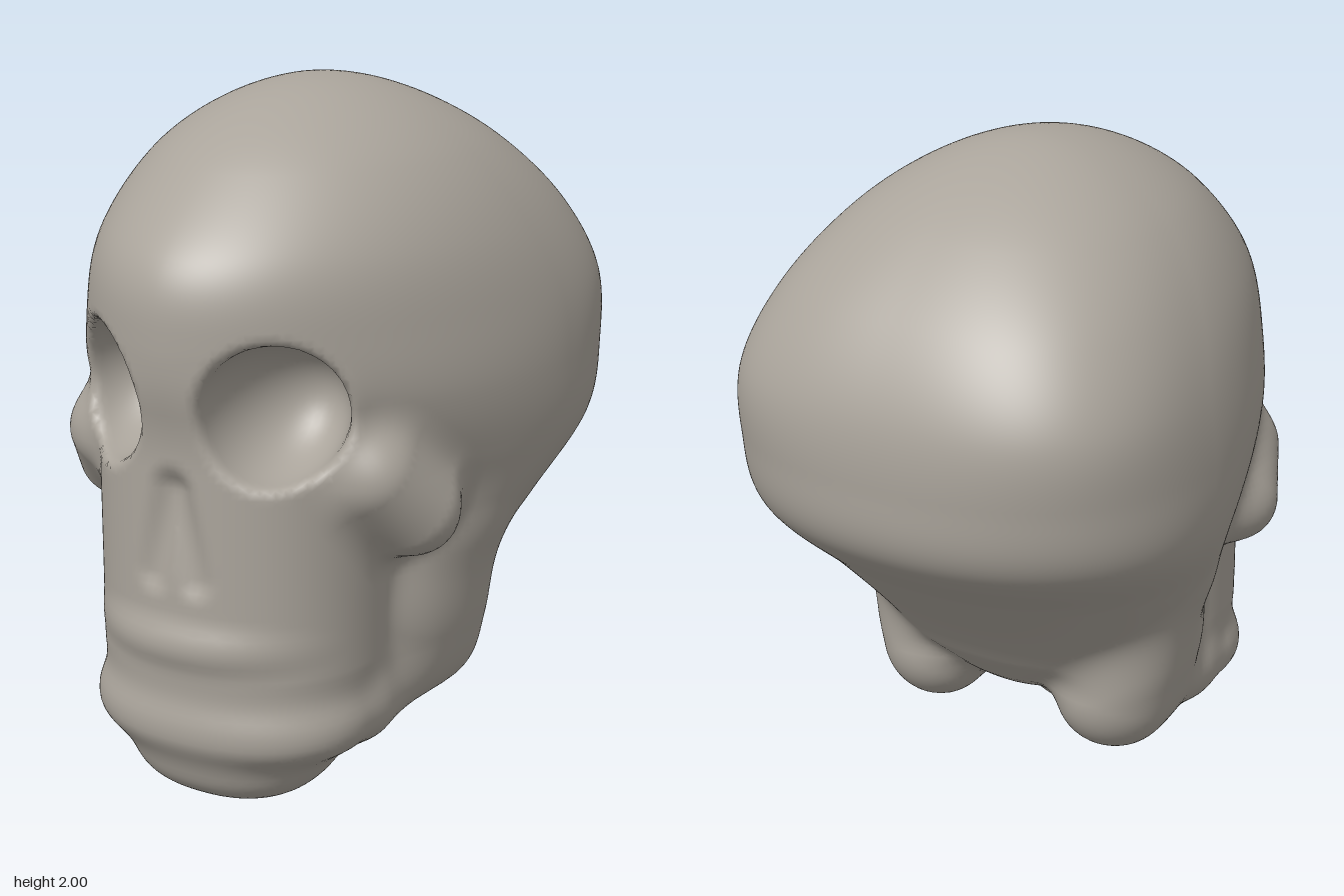
import * as THREE from 'three';

const STEP = 0.02;

// Cranium cross-sections, every 0.2 in height from y = 0.4:
// half width, z of widest point, front z, back z, front and back roundness
const CRANIUM = [
  [0.40, 0.05, 0.40, -0.25, 2.0, 2.2],
  [0.50, 0.00, 0.42, -0.41, 2.0, 2.2],
  [0.61, -0.08, 0.44, -0.60, 1.9, 2.2],
  [0.69, -0.22, 0.63, -0.80, 1.85, 2.35],
  [0.70, -0.20, 0.795, -0.835, 1.85, 2.65],
  [0.674, -0.20, 0.835, -0.82, 1.85, 2.9],
  [0.60, -0.12, 0.79, -0.725, 1.87, 2.8],
  [0.458, -0.05, 0.58, -0.53, 1.95, 2.45],
  [0.01, 0.0, 0.0132, -0.0105, 2.0, 2.1],
].map(([w, c, f, b, nf, nb]) => [w * w, c, w / (f - c), w / (c - b), nf, nb]);

// Smooth curve through the cross-section values at height y
function section(y, channel) {
  const last = CRANIUM.length - 1;
  const t = Math.max(0, (y - 0.4) / 0.2);
  const i = Math.min(last - 1, Math.floor(t)), u = t - i;
  const b = CRANIUM[i][channel], c = CRANIUM[i + 1][channel];
  const a = i > 0 ? CRANIUM[i - 1][channel] : 2 * b - c;
  const d = i + 1 < last ? CRANIUM[i + 2][channel] : 2 * c - b;
  return b + 0.5 * u * (c - a + u * (2 * a - 5 * b + 4 * c - d + u * (3 * (b - c) + d - a)));
}

function craniumField(x, y, z) {
  const dz = z - section(y, 1), front = dz > 0;
  const ratio = section(y, front ? 2 : 3), n = section(y, front ? 4 : 5);
  return (Math.abs(x) ** n + Math.abs(dz * ratio) ** n) ** (2 / n) - section(y, 0);
}

function cranium(x, y, z) {
  const e = 0.004, f = craniumField(x, y, z);
  const g = Math.hypot(craniumField(x + e, y, z) - f, craniumField(x, y + e, z) - f, craniumField(x, y, z + e) - f) / e;
  return f / Math.max(g, 0.5);
}

// Distance helpers: rounded ellipsoid and tapered capsule
function blob(x, y, z, c, r, n = 2) {
  const q = [Math.abs(x - c[0]) / r[0], Math.abs(y - c[1]) / r[1], Math.abs(z - c[2]) / r[2]];
  const s = (q[0] ** n + q[1] ** n + q[2] ** n) ** (1 / n);
  if (s < 1e-4) return -Math.min(...r);
  const g = Math.hypot(...q.map((v, i) => (v / s) ** (n - 1) / r[i]));
  return (s - 1) / g;
}

function capsule(x, y, z, a, b, ra, rb) {
  const d = [b[0] - a[0], b[1] - a[1], b[2] - a[2]];
  const dot = (x - a[0]) * d[0] + (y - a[1]) * d[1] + (z - a[2]) * d[2];
  const t = Math.min(1, Math.max(0, dot / (d[0] ** 2 + d[1] ** 2 + d[2] ** 2)));
  return Math.hypot(x - a[0] - t * d[0], y - a[1] - t * d[1], z - a[2] - t * d[2]) - ra - t * (rb - ra);
}

// Soft union and soft overlap
function join(a, b, k) {
  const h = Math.max(k - Math.abs(a - b), 0) / k;
  return Math.min(a, b) - h * h * k / 4;
}
const overlap = (a, b, k) => -join(-a, -b, k);

// The whole skull, mirrored through |x|
function skull(sx, y, z) {
  const x = Math.abs(sx);
  let d = overlap(cranium(x, y, z), 0.42 - y, 0.08);
  // skull base between the jaw branches
  d = join(d, blob(x, y, z, [0, 0.45, 0.04], [0.3, 0.16, 0.26]), 0.1);
  // upper jaw as an oval column, with its gum ridge
  const column = blob(x, 0, z, [0, 0, 0.4], [0.415, 1, 0.385], 2.2);
  let face = overlap(column, Math.abs(y - 0.8) - 0.5, 0.15);
  face = join(face, blob(x, y, z, [0, 0.53, 0.43], [0.37, 0.13, 0.375], 2.2), 0.04);
  d = join(d, face, 0.08);
  // lower jaw: upright branch, muscle swell, side bar, body, chin
  let jaw = capsule(x, y, z, [0.305, 0.37, -0.09], [0.4, 0.75, -0.02], 0.155, 0.16);
  jaw = join(jaw, blob(x, y, z, [0.35, 0.51, 0.04], [0.15, 0.27, 0.25]), 0.1);
  jaw = join(jaw, capsule(x, y, z, [0.315, 0.33, -0.04], [0.3, 0.28, 0.32], 0.13, 0.125), 0.08);
  jaw = join(jaw, blob(x, y, z, [0, 0.27, 0.45], [0.425, 0.16, 0.345], 2.2), 0.06);
  jaw = join(jaw, blob(x, y, z, [0, 0.14, 0.48], [0.29, 0.137, 0.245], 2.3), 0.08);
  d = join(d, jaw, 0.07);
  // cheekbones
  d = join(d, capsule(x, y, z, [0.44, 1.0, 0.45], [0.49, 0.88, 0.33], 0.12, 0.13), 0.11);
  // eye sockets
  d = overlap(d, -blob(x, y, z, [0.265, 1.195, 0.7], [0.175, 0.195, 0.3]), 0.035);
  // forked nose opening
  d = overlap(d, -capsule(x, y, z, [0, 0.965, 0.8], [0.07, 0.73, 0.805], 0.05, 0.035), 0.05);
  return d;
}

function gradient(x, y, z) {
  const e = 0.006;
  return [
    (skull(x + e, y, z) - skull(x - e, y, z)) / (2 * e),
    (skull(x, y + e, z) - skull(x, y - e, z)) / (2 * e),
    (skull(x, y, z + e) - skull(x, y, z - e)) / (2 * e),
  ];
}

// Wraps a smooth skin of quads around the solid
function skin() {
  const min = [-0.8, -0.1, -0.94], size = [81, 109, 95];
  const stride = [1, size[0], size[0] * size[1]];
  const total = stride[2] * size[2];
  const at = (p) => [p % size[0], Math.floor(p / stride[1]) % size[1], Math.floor(p / stride[2])];
  const value = new Float32Array(total);
  for (let p = 0; p < total; p++) {
    const g = at(p);
    value[p] = skull(min[0] + g[0] * STEP, min[1] + g[1] * STEP, min[2] + g[2] * STEP);
  }

  // one vertex in each cell the surface passes through
  const cell = new Int32Array(total).fill(-1);
  const positions = [], normals = [], index = [];
  for (let p = 0; p < total; p++) {
    const g = at(p);
    if (g.some((v, i) => v >= size[i] - 1)) continue;
    const sum = [0, 0, 0];
    let hits = 0;
    for (let corner = 0; corner < 8; corner++) {
      const o = [corner & 1, (corner >> 1) & 1, corner >> 2];
      const q = p + o[0] * stride[0] + o[1] * stride[1] + o[2] * stride[2];
      for (let a = 0; a < 3; a++) {
        if (o[a]) continue;
        const v0 = value[q], v1 = value[q + stride[a]];
        if ((v0 < 0) === (v1 < 0)) continue;
        for (let i = 0; i < 3; i++) sum[i] += o[i] + (i === a ? v0 / (v0 - v1) : 0);
        hits++;
      }
    }
    if (!hits) continue;
    let v = sum.map((s, i) => min[i] + (g[i] + s / hits) * STEP);
    const n = gradient(...v), len2 = Math.max(n[0] ** 2 + n[1] ** 2 + n[2] ** 2, 0.2);
    const move = Math.max(-0.01, Math.min(0.01, skull(...v) / len2));
    v = v.map((c, i) => c - n[i] * move);
    const normal = new THREE.Vector3(...gradient(...v)).normalize();
    cell[p] = positions.length / 3;
    positions.push(...v);
    normals.push(normal.x, normal.y, normal.z);
  }

  // a quad across each grid edge the surface cuts
  for (let p = 0; p < total; p++) {
    const g = at(p);
    for (let a = 0; a < 3; a++) {
      const b = (a + 1) % 3, c = (a + 2) % 3;
      if (g[a] >= size[a] - 1 || g[b] < 1 || g[c] < 1) continue;
      const inside = value[p] < 0;
      if (inside === (value[p + stride[a]] < 0)) continue;
      const q = [cell[p - stride[b] - stride[c]], cell[p - stride[c]], cell[p], cell[p - stride[b]]];
      if (q.some((v) => v < 0)) continue;
      if (!inside) q.reverse();
      index.push(q[0], q[1], q[2], q[0], q[2], q[3]);
    }
  }

  const geometry = new THREE.BufferGeometry();
  geometry.setAttribute('position', new THREE.Float32BufferAttribute(positions, 3));
  geometry.setAttribute('normal', new THREE.Float32BufferAttribute(normals, 3));
  geometry.setIndex(index);
  return geometry;
}

export function createModel() {
  const bone = new THREE.MeshStandardMaterial({ color: 0xaaa49b });
  bone.name = 'bone';
  const geometry = skin();
  // stand on the ground, centred front to back
  geometry.computeBoundingBox();
  const box = geometry.boundingBox;
  geometry.translate(0, -box.min.y, -(box.min.z + box.max.z) / 2);

  const mesh = new THREE.Mesh(geometry, bone);
  mesh.name = 'skull';
  const group = new THREE.Group();
  group.name = 'skullModel';
  group.add(mesh);
  return group;
}
